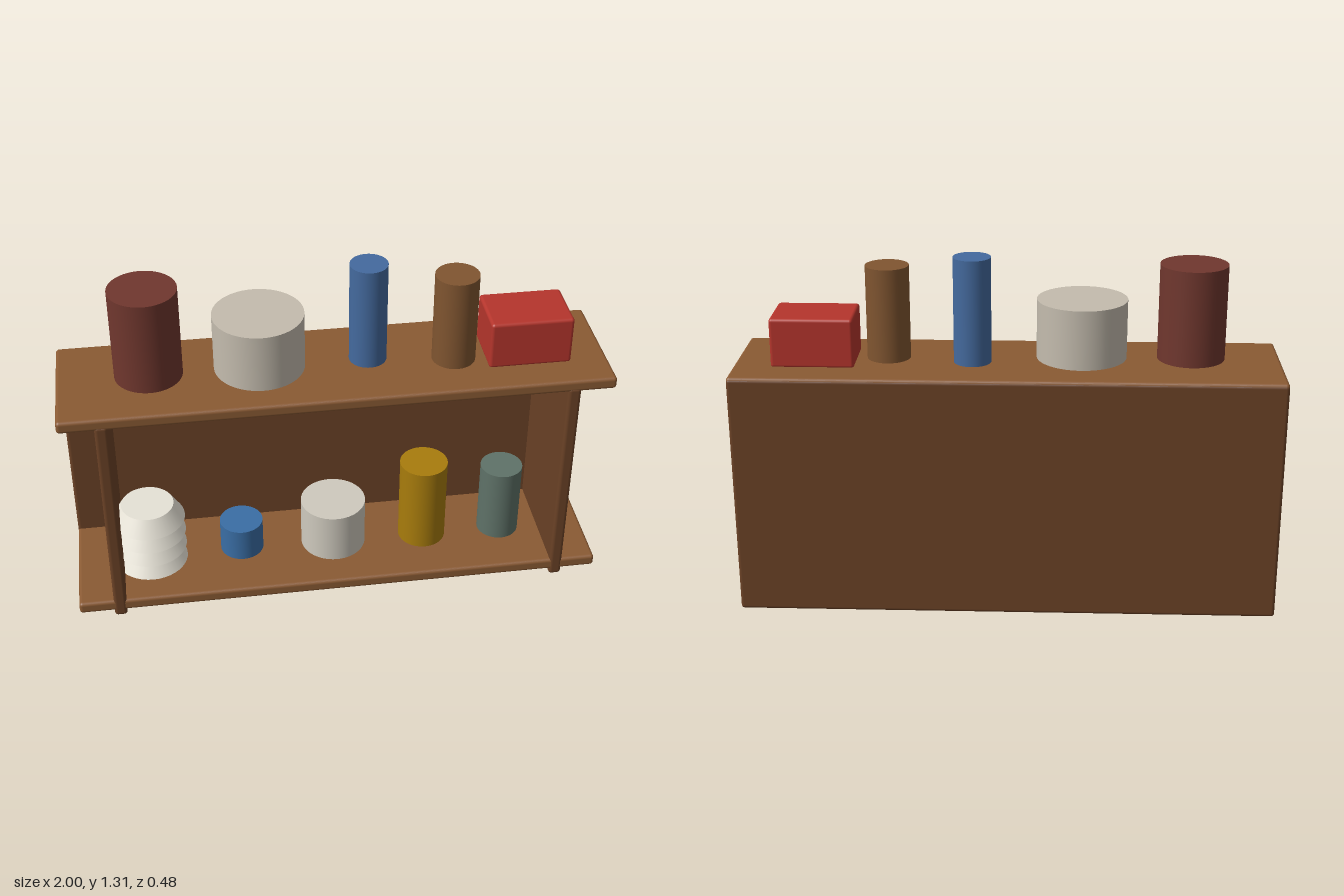
import * as THREE from 'three';
import { RoundedBoxGeometry } from 'three/addons/geometries/RoundedBoxGeometry.js';

const material = (color) => new THREE.MeshStandardMaterial({ color });

export function createModel() {
  const group = new THREE.Group();
  const shelfWood = material(0x8a5a33);
  const panelWood = material(0x6b4226);

  function add(name, geometry, mat, x, y, z) {
    const mesh = new THREE.Mesh(geometry, mat);
    mesh.name = name;
    mesh.position.set(x, y, z);
    group.add(mesh);
  }
  // Softly rounded block given by its min and max corners
  function block(name, mat, [x0, y0, z0], [x1, y1, z1], radius = 0.013) {
    const geometry = new RoundedBoxGeometry(x1 - x0, y1 - y0, z1 - z0, 3, radius);
    add(name, geometry, mat, (x0 + x1) / 2, (y0 + y1) / 2, (z0 + z1) / 2);
  }
  // Upright container from y0 to y1
  function jar(name, color, radius, x, y0, y1, z = 0) {
    const geometry = new THREE.CylinderGeometry(radius, radius, y1 - y0, 48);
    add(name, geometry, material(color), x, (y0 + y1) / 2, z);
  }

  // Cabinet boards
  block('topShelf', shelfWood, [-1, 0.873, -0.24], [1, 0.92, 0.24]);
  block('bottomShelf', shelfWood, [-1, 0.03, -0.24], [1, 0.077, 0.24]);
  block('backPanel', panelWood, [-1, 0, -0.242], [1, 0.915, -0.208]);
  for (const side of [-1, 1]) {
    const x = side * 0.846;
    block(side < 0 ? 'rightSide' : 'leftSide', panelWood,
      [x - 0.024, 0.005, -0.24], [x + 0.024, 0.888, 0.242]);
  }

  // Objects on the top shelf
  jar('tallCanister', 0x70372e, 0.123, -0.667, 0.937, 1.29);
  jar('widePot', 0xc4bcae, 0.165, -0.268, 0.937, 1.157);
  jar('blueBottle', 0x446a9e, 0.069, 0.131, 0.915, 1.314, -0.02);
  jar('brownBottle', 0x805530, 0.08, 0.442, 0.915, 1.27, 0.022);
  block('redBox', material(0xb5352c), [0.557, 0.915, -0.11], [0.861, 1.1, 0.11], 0.012);

  // Objects on the bottom shelf
  jar('blueCup', 0x3a6ea5, 0.083, -0.36, 0.092, 0.225);
  jar('whitePot', 0xcfcabe, 0.125, 0, 0.083, 0.285);
  jar('yellowTin', 0xa87c0c, 0.092, 0.355, 0.075, 0.43);
  jar('greenTin', 0x5f7268, 0.081, 0.664, 0.075, 0.382);

  // Stack of upturned bowls
  const bowlMaterial = material(0xe6e2d6);
  for (let i = 0; i < 4; i++) {
    add('bowl' + (i + 1), new THREE.CylinderGeometry(0.1, 0.14, 0.066, 40),
      bowlMaterial, -0.715, 0.113 + i * 0.066, 0);
  }
  return group;
}
